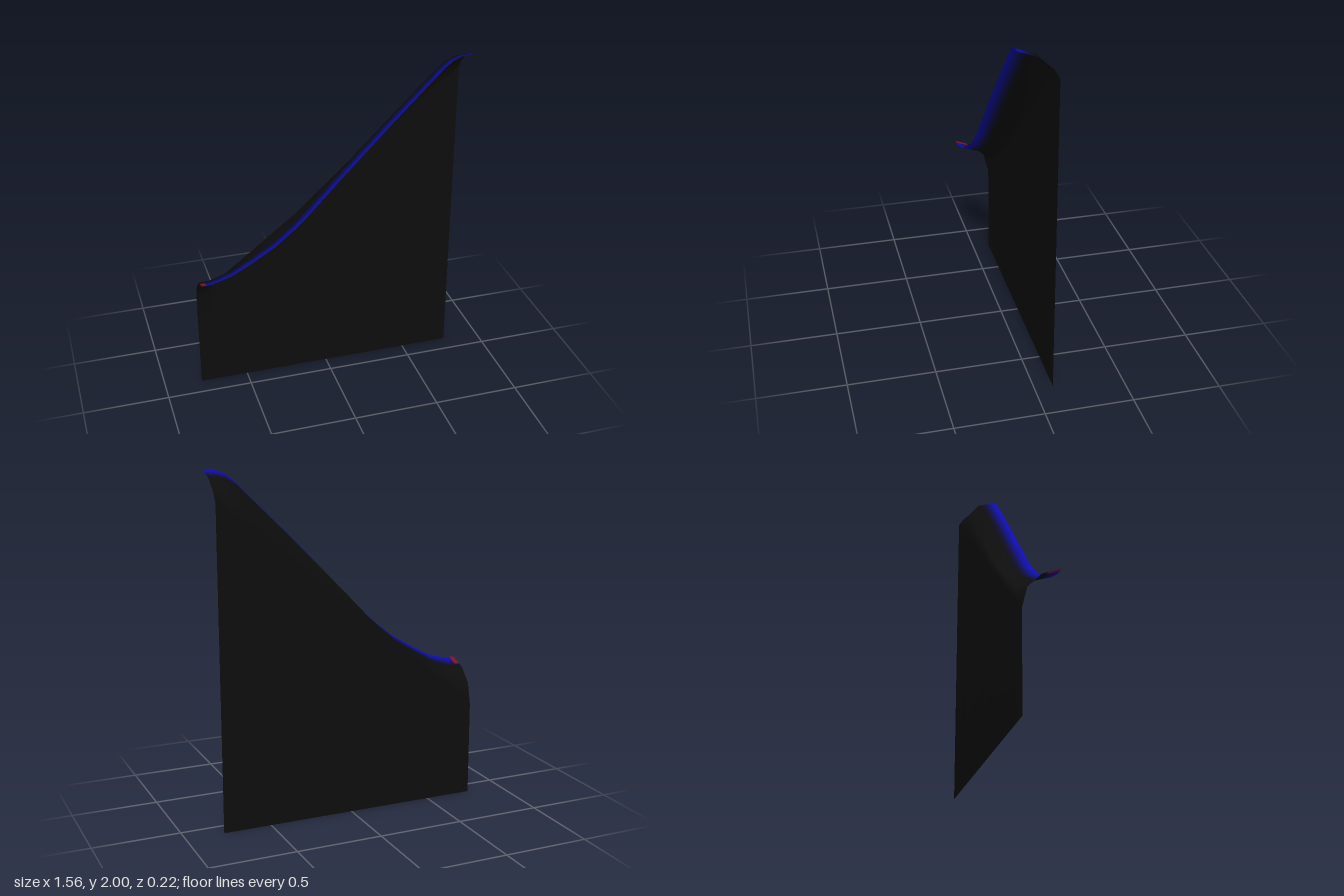
import * as THREE from 'three';

// Piecewise linear height along a list of [x, y] points
function at(points, x) {
  let i = 1;
  while (i < points.length - 1 && x > points[i][0]) i++;
  const [x0, y0] = points[i - 1], [x1, y1] = points[i];
  return y0 + (y1 - y0) * (x - x0) / (x1 - x0);
}

// Rails of the sheet: curled rim, shoulder and the bend into the flat panel
const rim = [[-0.78, 0.8], [-0.72, 0.8], [-0.66, 0.815], [-0.6, 0.835], [-0.48, 0.9], [-0.35, 0.98],
  [-0.24, 1.07], [-0.17, 1.135], [0, 1.315], [0.3, 1.625], [0.61, 1.935], [0.66, 1.973], [0.71, 1.992], [0.78, 2]];
const shoulder = [[-0.78, 0.68], [-0.62, 0.735], [-0.17, 1.085], [0.62, 1.82], [0.78, 1.89]];
const bend = [[-0.78, 0.56], [0.78, 1.84]];
const drop = [[-0.78, 0.04], [-0.17, 0.025], [0.3, 0.03], [0.78, 0.04]];
const sway = [[-0.78, 0], [-0.66, -0.007], [-0.1, -0.006], [0.55, 0], [0.78, 0]];

const columns = [-0.78, -0.75, -0.72, -0.66, -0.6, -0.54, -0.48, -0.41, -0.35, -0.29, -0.24, -0.17,
  -0.08, 0, 0.15, 0.3, 0.45, 0.61, 0.66, 0.71, 0.78];
const bands = 6;

// One cross-section, from the ground up to the rim
function section(x) {
  const s = at(sway, x), top = at(rim, x), low = top - at(drop, x);
  const pts = [[x, 0, -0.105], [x, at(bend, x), -0.105 + s], [x, at(shoulder, x), -0.075 + s]];
  for (let k = 0; k <= bands; k++) {
    const t = k / bands;
    pts.push([x, low + (top - low) * t, 0.107 * t + s]);
  }
  return pts;
}

export function createModel() {
  const group = new THREE.Group();
  group.name = 'curvedPanel';

  const rows = 4 + bands;
  const positions = columns.flatMap(x => section(x).flat());
  const quad = (c, r) => {
    const a = c * rows + r, b = a + rows;
    return [a, b, b + 1, a, b + 1, a + 1];
  };

  // Sort the cells into parts: panel, blue bands and the red corner
  const parts = {};
  const all = [];
  for (let c = 0; c < columns.length - 1; c++) {
    for (let r = 0; r < rows - 1; r++) {
      const band = r - 3;
      let name = 'panel';
      if (band >= 0) name = c === 0 && band >= 2 ? 'redCorner' : 'rimBand' + band;
      (parts[name] ??= []).push(...quad(c, r));
      all.push(...quad(c, r));
    }
  }

  // Shared smooth normals for the whole sheet
  const sheet = new THREE.BufferGeometry();
  sheet.setAttribute('position', new THREE.Float32BufferAttribute(positions, 3));
  sheet.setIndex(all);
  sheet.computeVertexNormals();

  const colors = { panel: 0x0d0d0d, redCorner: 0x7a1030 };
  const blues = [0x0c0c10, 0x0c0c22, 0x0c0c44, 0x0c0c70, 0x0c0c98, 0x0c0cb4];
  blues.forEach((color, k) => { colors['rimBand' + k] = color; });

  for (const [name, index] of Object.entries(parts)) {
    const geometry = sheet.clone().setIndex(index).toNonIndexed();
    const material = new THREE.MeshStandardMaterial({ color: colors[name], side: THREE.DoubleSide });
    const mesh = new THREE.Mesh(geometry, material);
    mesh.name = name;
    group.add(mesh);
  }
  return group;
}
